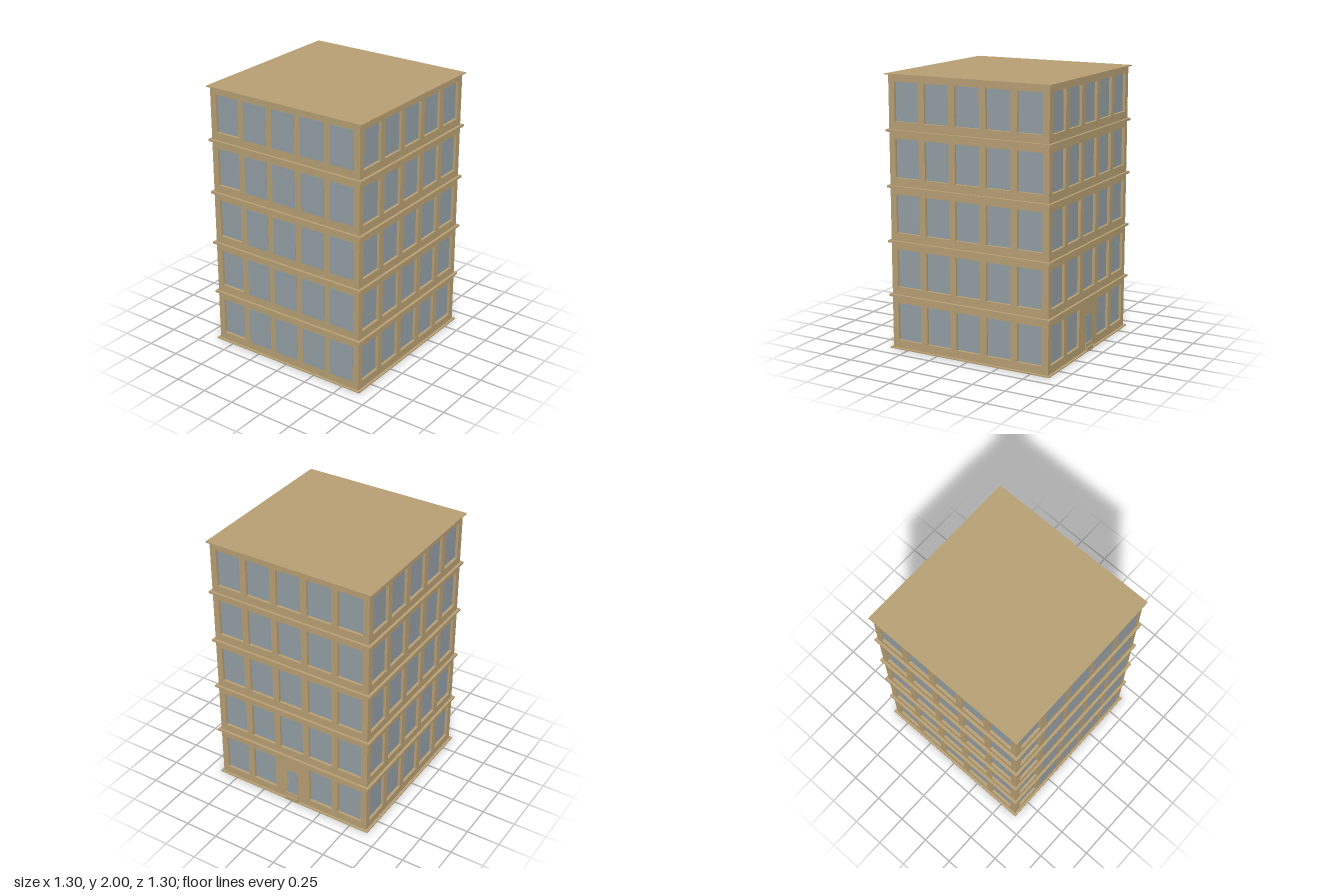
import * as THREE from 'three';

const HALF = 0.63, DEPTH = 0.02, STOREY = 0.4, PITCH = 0.243;
const WIN_W = 0.193, WIN_Y0 = 0.065, WIN_Y1 = 0.345;

export function createModel() {
  const wall = new THREE.MeshStandardMaterial({ color: 0xb8a074 });
  wall.name = 'sandstone';
  const glass = new THREE.MeshStandardMaterial({ color: 0x949fa5 });
  glass.name = 'greyBlueGlass';
  const building = new THREE.Group();
  building.name = 'building';

  const box = (name, mat, w, h, d, x, y, z, parent = building) => {
    const m = new THREE.Mesh(new THREE.BoxGeometry(w, h, d), mat);
    m.name = name;
    m.position.set(x, y, z);
    parent.add(m);
    return m;
  };

  // Facade sheet with window openings; pane(col, row) decides what fills each bay
  function facade(name, angle, halfWidth, bay) {
    const g = new THREE.Group();
    g.name = name;
    const s = new THREE.Shape();
    s.moveTo(-halfWidth, 0.002).lineTo(halfWidth, 0.002).lineTo(halfWidth, 1.996).lineTo(-halfWidth, 1.996).closePath();
    for (let row = 0; row < 5; row++) {
      for (let col = 0; col < 5; col++) {
        const x = (col - 2) * PITCH, y = row * STOREY, kind = bay(col, row);
        if (kind === 'recessed') {
          const a = x - WIN_W / 2, b = x + WIN_W / 2;
          const hole = new THREE.Path();
          hole.moveTo(a, y + WIN_Y0).lineTo(a, y + WIN_Y1).lineTo(b, y + WIN_Y1).lineTo(b, y + WIN_Y0).closePath();
          s.holes.push(hole);
        } else if (kind === 'flush') {
          box('flushWindow', glass, WIN_W, WIN_Y1 - WIN_Y0, 0.004, x, y + (WIN_Y0 + WIN_Y1) / 2, HALF, g);
        }
      }
    }
    const m = new THREE.Mesh(new THREE.ExtrudeGeometry(s, { depth: DEPTH, bevelEnabled: false }), wall);
    m.name = name + 'Wall';
    m.position.z = HALF - DEPTH;
    g.add(m);
    g.rotation.y = angle;
    building.add(g);
  }

  facade('front', 0, HALF, (col) => (col === 0 ? 'recessed' : 'flush'));
  facade('back', Math.PI, HALF, (col, row) => (col === 2 && row === 0 ? 'door' : 'recessed'));
  facade('leftSide', Math.PI / 2, HALF - DEPTH, () => 'recessed');
  facade('rightSide', -Math.PI / 2, HALF - DEPTH, () => 'recessed');

  // Glass body seen through the openings
  const inner = 2 * (HALF - DEPTH);
  box('windowGlass', glass, inner, 1.98, inner, 0, 1, 0);

  // Base, floor bands and roof
  for (let i = 0; i <= 5; i++) {
    const y0 = Math.max(0, i * STOREY - 0.008), y1 = Math.min(2, i * STOREY + 0.008);
    const name = i === 0 ? 'baseSlab' : i === 5 ? 'roofSlab' : 'floorBand';
    box(name, wall, 1.3, y1 - y0, 1.296, 0, (y0 + y1) / 2, 0);
  }

  // Back entrance: door, knob and two steps
  box('door', glass, 0.092, 0.21, 0.004, 0, 0.165, -HALF);
  const knob = new THREE.Mesh(new THREE.SphereGeometry(0.005, 12, 8), wall);
  knob.name = 'doorKnob';
  knob.position.set(0.033, 0.165, -HALF - 0.004);
  building.add(knob);
  box('upperStep', wall, 0.1, 0.062, 0.012, 0, 0.031, -HALF - 0.005);
  box('lowerStep', wall, 0.1, 0.034, 0.022, 0, 0.017, -HALF - 0.009);

  return building;
}
